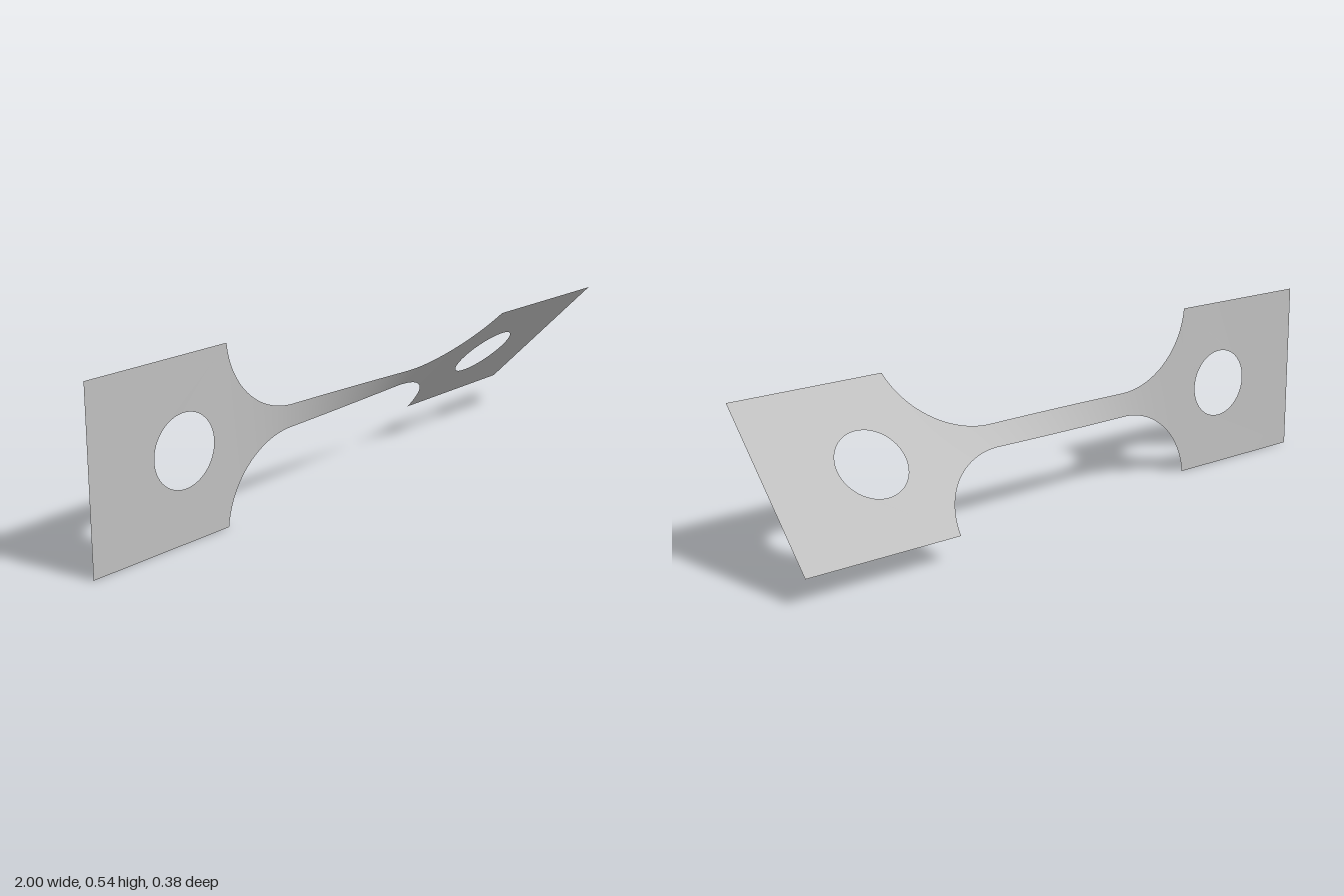
import * as THREE from 'three';

const HALF = 0.271;        // half height of the grips, also the axis height
const WAIST = 0.037;       // half height of the narrow bar
const R = 0.26;            // fillet radius
const FILLET = 0.25;       // x where the fillets meet the bar
const SHOULDER = FILLET + Math.sqrt(R * R - (WAIST + R - HALF) ** 2);

// Twist angle along the axis: nearly all of it happens in the narrow bar
function twistAngle(x) {
  const u = 2.7 * x;
  return THREE.MathUtils.degToRad(22.6 + 22.3 * u / Math.pow(1 + u ** 6, 1 / 6));
}

// Rotate every vertex about the long axis and lift the sheet onto the ground
function twist(geometry) {
  const p = geometry.attributes.position;
  for (let i = 0; i < p.count; i++) {
    const x = p.getX(i), v = p.getY(i), a = twistAngle(x);
    p.setXYZ(i, x, HALF + v * Math.cos(a), v * Math.sin(a));
  }
  geometry.computeVertexNormals();
  return geometry;
}

// Half height of the sheet between the two shoulders
function halfHeight(x) {
  const d = Math.max(0, Math.abs(x) - FILLET);
  return WAIST + R - Math.sqrt(Math.max(0, R * R - d * d));
}

// Square grip with a round hole
function gripGeometry(side) {
  const x0 = side < 0 ? -1 : SHOULDER, x1 = side < 0 ? -SHOULDER : 1;
  const shape = new THREE.Shape();
  shape.moveTo(x0, -HALF).lineTo(x1, -HALF).lineTo(x1, HALF).lineTo(x0, HALF).closePath();
  const hole = new THREE.Path();
  hole.absarc(side * 0.67, 0, 0.109, 0, Math.PI * 2, true);
  shape.holes.push(hole);
  return twist(new THREE.ShapeGeometry(shape, 32));
}

// Narrow bar with curved shoulders, as a grid squeezed to the outline
function barGeometry() {
  const g = new THREE.PlaneGeometry(2, 2, 96, 10);
  const p = g.attributes.position;
  for (let i = 0; i < p.count; i++) {
    // columns gather towards the steep ends of the fillets
    const x = SHOULDER * Math.sin(p.getX(i) * Math.PI / 2);
    p.setXY(i, x, p.getY(i) * halfHeight(x));
  }
  return twist(g);
}

export function createModel() {
  const group = new THREE.Group();
  group.name = 'twistedTestStrip';
  const metal = new THREE.MeshStandardMaterial({ color: 0xc0c0c0, side: THREE.DoubleSide });
  metal.name = 'light grey metal';

  const add = (geometry, name) => {
    const mesh = new THREE.Mesh(geometry, metal);
    mesh.name = name;
    group.add(mesh);
  };
  add(gripGeometry(-1), 'rightGrip');
  add(gripGeometry(1), 'leftGrip');
  add(barGeometry(), 'twistedBar');
  return group;
}
